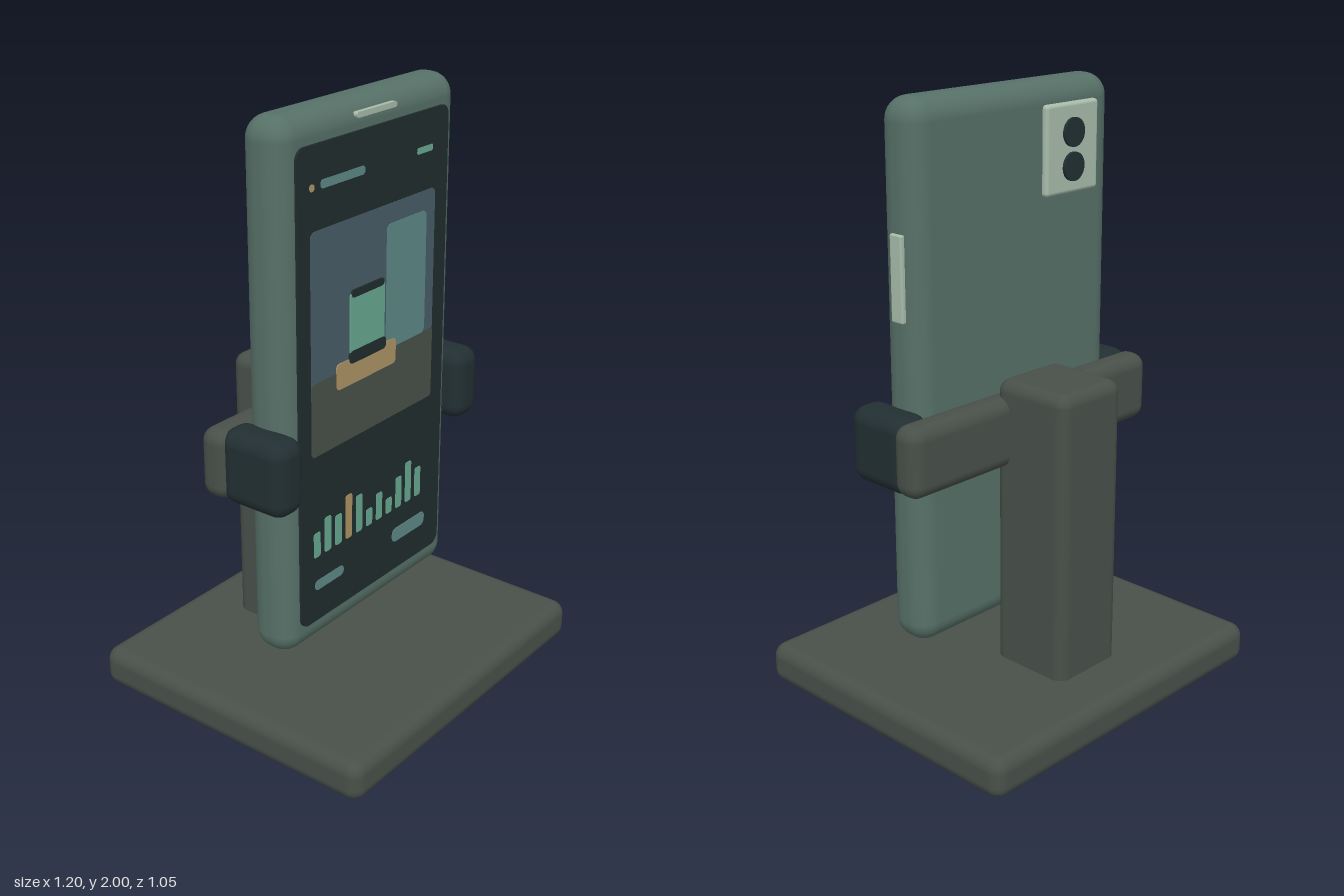
import * as THREE from 'three';
import { RoundedBoxGeometry } from 'three/addons/geometries/RoundedBoxGeometry.js';

const paint = (name, color) => {
  const m = new THREE.MeshStandardMaterial({ color });
  m.name = name;
  return m;
};

export function createModel() {
  const model = new THREE.Group();
  model.name = 'phoneOnStand';

  const stone = paint('stand grey', 0x485049);
  const rubber = paint('dark rubber', 0x222f32);
  const shell = paint('shell green', 0x567067);
  const glass = paint('screen dark', 0x212c2e);
  const pale = paint('pale trim', 0xa8bcab);
  const sky = paint('slate blue', 0x485d67);
  const teal = paint('teal', 0x5d8887);
  const mint = paint('mint', 0x69a991);
  const tan = paint('tan', 0xad9566);

  const add = (parent, name, geometry, material) => {
    const mesh = new THREE.Mesh(geometry, material);
    mesh.name = name;
    parent.add(mesh);
    return mesh;
  };

  // Rounded block given by its limits on each axis
  const block = (parent, name, [x0, x1], [y0, y1], [z0, z1], r, material) => {
    const geo = new RoundedBoxGeometry(x1 - x0, y1 - y0, z1 - z0, 5, r);
    add(parent, name, geo, material)
      .position.set((x0 + x1) / 2, (y0 + y1) / 2, (z0 + z1) / 2);
  };

  // Thin plate with rounded corners, facing +z
  const plate = (parent, name, [x0, x1], [y0, y1], r, z, depth, material) => {
    const s = new THREE.Shape();
    s.moveTo(x0 + r, y0);
    s.lineTo(x1 - r, y0);
    s.absarc(x1 - r, y0 + r, r, -Math.PI / 2, 0);
    s.lineTo(x1, y1 - r);
    s.absarc(x1 - r, y1 - r, r, 0, Math.PI / 2);
    s.lineTo(x0 + r, y1);
    s.absarc(x0 + r, y1 - r, r, Math.PI / 2, Math.PI);
    s.lineTo(x0, y0 + r);
    s.absarc(x0 + r, y0 + r, r, Math.PI, Math.PI * 1.5);
    const geo = new THREE.ExtrudeGeometry(s, { depth, bevelEnabled: false, curveSegments: 5 });
    add(parent, name, geo, material).position.z = z;
  };

  // Stand: base, feet, post, crossbar and side grips
  const stand = new THREE.Group();
  stand.name = 'stand';
  model.add(stand);
  block(stand, 'base', [-0.6, 0.6], [0.06, 0.195], [-0.525, 0.525], 0.045, stone);
  block(stand, 'post', [-0.135, 0.135], [0.15, 1.135], [-0.345, -0.06], 0.04, stone);
  block(stand, 'crossbar', [-0.53, 0.53], [0.855, 1.08], [-0.125, -0.02], 0.045, stone);
  for (const side of [-1, 1]) {
    const span = (a, b) => (side > 0 ? [a, b] : [-b, -a]);
    const tag = side > 0 ? 'left' : 'right';
    block(stand, tag + 'Foot', span(0.23, 0.52), [0, 0.07], [-0.39, 0.375], 0.03, rubber);
    block(stand, tag + 'Grip', span(0.39, 0.517), [0.845, 1.088], [-0.06, 0.183], 0.05, rubber);
  }

  // Phone body with side button, speaker slot and screen glass
  const phone = new THREE.Group();
  phone.name = 'phone';
  model.add(phone);
  block(phone, 'body', [-0.428, 0.428], [0.31, 2], [-0.035, 0.123], 0.07, shell);
  block(phone, 'sideButton', [0.415, 0.438], [1.352, 1.615], [0.013, 0.062], 0.006, pale);
  plate(phone, 'speakerSlot', [-0.095, 0.095], [1.948, 1.965], 0.008, 0.115, 0.015, pale);
  plate(phone, 'screen', [-0.365, 0.362], [0.4, 1.912], 0.035, 0.115, 0.015, glass);

  // Rear camera plate and its two lenses
  block(phone, 'cameraPlate', [-0.335, -0.1], [1.652, 1.93], [-0.054, -0.025], 0.012, pale);
  for (const y of [1.84, 1.735]) {
    const lens = add(phone, 'cameraLens', new THREE.CylinderGeometry(0.045, 0.045, 0.022, 28), rubber);
    lens.rotation.x = Math.PI / 2;
    lens.position.set(-0.216, y, -0.053);
  }

  // Screen picture, stacked in thin layers
  const display = new THREE.Group();
  display.name = 'display';
  phone.add(display);
  const layer = (n, name, xs, ys, r, material) =>
    plate(display, name, xs, ys, r, 0.129, 0.001 + n * 0.0015, material);

  layer(1, 'statusDot', [-0.311, -0.289], [1.781, 1.803], 0.01, tan);
  layer(1, 'statusTitle', [-0.262, -0.057], [1.781, 1.807], 0.012, teal);
  layer(1, 'statusBattery', [0.2, 0.28], [1.783, 1.803], 0.006, mint);

  layer(1, 'pictureWall', [-0.31, 0.298], [0.968, 1.665], 0.02, sky);
  layer(2, 'pictureFloor', [-0.31, 0.298], [0.968, 1.205], 0.012, stone);
  layer(2, 'pictureWindow', [0.05, 0.253], [1.203, 1.603], 0.02, teal);
  layer(3, 'pictureTable', [-0.195, 0.1], [1.148, 1.232], 0.015, tan);
  layer(4, 'jar', [-0.13, 0.038], [1.235, 1.435], 0.008, mint);
  layer(5, 'jarLid', [-0.125, 0.033], [1.422, 1.446], 0.011, glass);
  layer(5, 'jarFoot', [-0.135, 0.045], [1.215, 1.255], 0.015, glass);

  // Bar chart
  const tops = [0.71, 0.745, 0.73, 0.778, 0.755, 0.685, 0.72, 0.68, 0.735, 0.77, 0.73];
  tops.forEach((top, i) => {
    const x = -0.288 + i * 0.0525;
    layer(1, 'chartBar', [x - 0.016, x + 0.016], [0.625, top], 0.008, i === 3 ? tan : mint);
  });

  layer(1, 'footerLabel', [-0.3, -0.157], [0.508, 0.542], 0.016, teal);
  layer(1, 'footerButton', [0.1, 0.28], [0.502, 0.552], 0.02, teal);

  return model;
}
